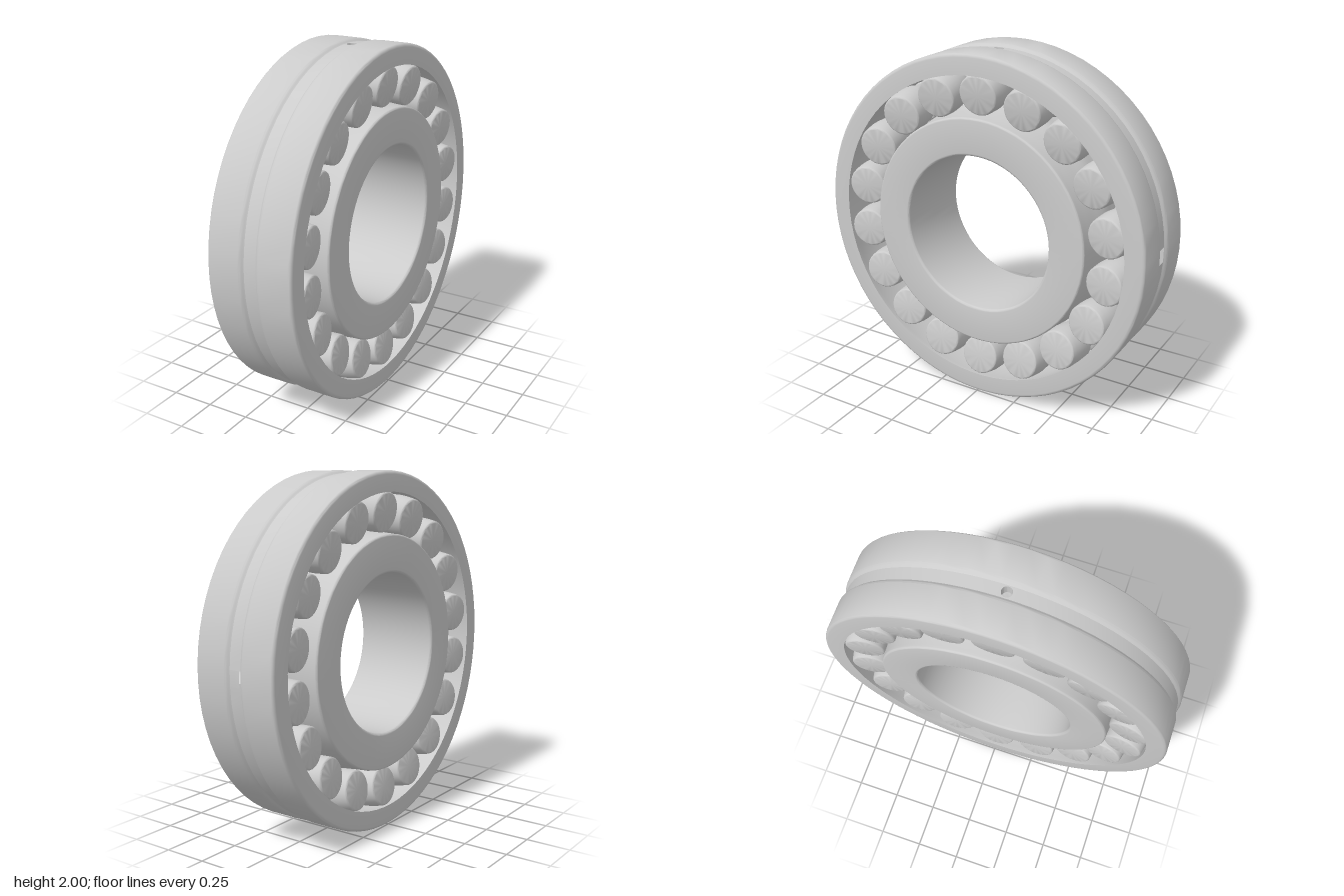
import * as THREE from 'three';
import { mergeGeometries, toCreasedNormals } from 'three/addons/utils/BufferGeometryUtils.js';

const DEG = Math.PI / 180;
const SEG = 72, HALF_SEG = 180 / SEG;   // hole panels fill exactly one segment
const HOLE_PHI = [90, 180, 270];        // bottom, back, top (lathe angle)
const GROOVE_R = 0.985, RACE_R = 0.92, STRIP = 0.035;

const material = new THREE.MeshStandardMaterial({ color: 0xcccccc, side: THREE.DoubleSide });

// Lathe around the x axis; profile points are [radius, x]
function turn(profile, segments = SEG, startDeg = HALF_SEG, lengthDeg = 360) {
  const pts = profile.map(([r, x]) => new THREE.Vector2(r, x));
  const g = new THREE.LatheGeometry(pts, segments, startDeg * DEG, lengthDeg * DEG);
  g.rotateZ(-Math.PI / 2);
  return toCreasedNormals(g, 0.6);
}

const mirrored = (profile) => profile.map(([r, x]) => [r, -x]).reverse();

// Rounded corner as profile points, from angle a0 to a1 around (r, x)
function fillet(r, x, rad, a0, a1, n = 4) {
  return Array.from({ length: n + 1 }, (_, i) => {
    const a = (a0 + (a1 - a0) * i / n) * DEG;
    return [r + rad * Math.cos(a), x + rad * Math.sin(a)];
  });
}

// One segment of the ring's middle strip with a drilled radial hole
function holePanel(phi) {
  const half = GROOVE_R * Math.sin(HALF_SEG * DEG);
  const shape = new THREE.Shape();
  shape.moveTo(-half, -STRIP);
  shape.lineTo(half, -STRIP);
  shape.lineTo(half, STRIP);
  shape.lineTo(-half, STRIP);
  shape.closePath();
  const hole = new THREE.Path();
  hole.absarc(0, 0, 0.029, 0, Math.PI * 2, true);
  shape.holes.push(hole);
  const g = new THREE.ExtrudeGeometry(shape, { depth: 1, bevelEnabled: false, curveSegments: 16 });
  const p = g.attributes.position;
  for (let i = 0; i < p.count; i++) {
    const r = THREE.MathUtils.lerp(RACE_R, GROOVE_R, p.getZ(i));
    p.setXYZ(i, p.getY(i), r * Math.cos(HALF_SEG * DEG), p.getX(i) * r / GROOVE_R);
  }
  g.computeVertexNormals();
  g.rotateX((-90 - phi) * DEG);
  return toCreasedNormals(g, 0.6);
}

function outerRing() {
  // One half from the groove floor over the rim and face to the spherical raceway
  const half = [
    [GROOVE_R, STRIP], [0.99, 0.043], [0.997, 0.05], [1, 0.06],
    ...fillet(0.98, 0.228, 0.02, 0, 90).map(([r, x]) => [r, x + 0.002]),
    [0.886, 0.25],
  ];
  for (let i = 0; i <= 8; i++) {
    const x = THREE.MathUtils.lerp(0.245, STRIP, i / 8);
    half.push([Math.sqrt(RACE_R ** 2 - x ** 2), x]);
  }
  const parts = [turn(half), turn(mirrored(half))];
  // Middle strip between the holes
  for (const [start, end] of [[90, 180], [180, 270], [270, 450]]) {
    const length = end - start - 2 * HALF_SEG;
    const n = Math.round(length / (2 * HALF_SEG));
    parts.push(turn([[GROOVE_R, -STRIP], [GROOVE_R, STRIP]], n, start + HALF_SEG, length));
    parts.push(turn([[RACE_R, STRIP], [RACE_R, -STRIP]], n, start + HALF_SEG, length));
  }
  HOLE_PHI.forEach((phi) => parts.push(holePanel(phi)));
  return mergeGeometries(parts.map((g) => {
    const flat = g.index ? g.toNonIndexed() : g;
    flat.deleteAttribute('uv');
    return flat;
  }));
}

function innerRing() {
  const half = [
    [0.685, 0], [0.684, 0.035], [0.674, 0.08], [0.669, 0.125], [0.664, 0.18], [0.66, 0.225],
    ...fillet(0.648, 0.238, 0.012, 0, 90),
    ...fillet(0.465, 0.235, 0.015, 90, 180),
    [0.45, 0],
  ];
  return turn([...mirrored(half), ...half.slice(1)]);
}

// Barrel roller with softened ends
function rollerGeometry() {
  const half = [
    [0.12, 0], [0.119, 0.03], [0.116, 0.06],
    ...fillet(0.101, 0.085, 0.012, 10, 90),
    [0, 0.097],
  ];
  return turn([...mirrored(half), ...half.slice(1)], 28, 0);
}

export function createModel() {
  const model = new THREE.Group();
  model.name = 'rollerBearing';
  const bearing = new THREE.Group();
  bearing.name = 'bearingAssembly';
  bearing.position.y = 1;
  model.add(bearing);

  const add = (geometry, name, parent = bearing) => {
    const mesh = new THREE.Mesh(geometry, material);
    mesh.name = name;
    parent.add(mesh);
    return mesh;
  };
  add(outerRing(), 'outerRing');
  add(innerRing(), 'innerRing');

  // Two rows of rollers, tilted to follow the spherical raceway
  const roller = rollerGeometry();
  const count = 18;
  for (const side of [1, -1]) {
    const row = new THREE.Group();
    row.name = side > 0 ? 'leftRollerRow' : 'rightRollerRow';
    bearing.add(row);
    for (let i = 0; i < count; i++) {
      const station = new THREE.Group();
      station.name = 'rollerStation';
      station.rotation.x = (i / count) * Math.PI * 2;
      row.add(station);
      const mesh = add(roller, 'roller', station);
      mesh.position.set(side * 0.125, 0.79, 0);
      mesh.rotation.z = -side * 0.157;
    }
  }
  return model;
}
